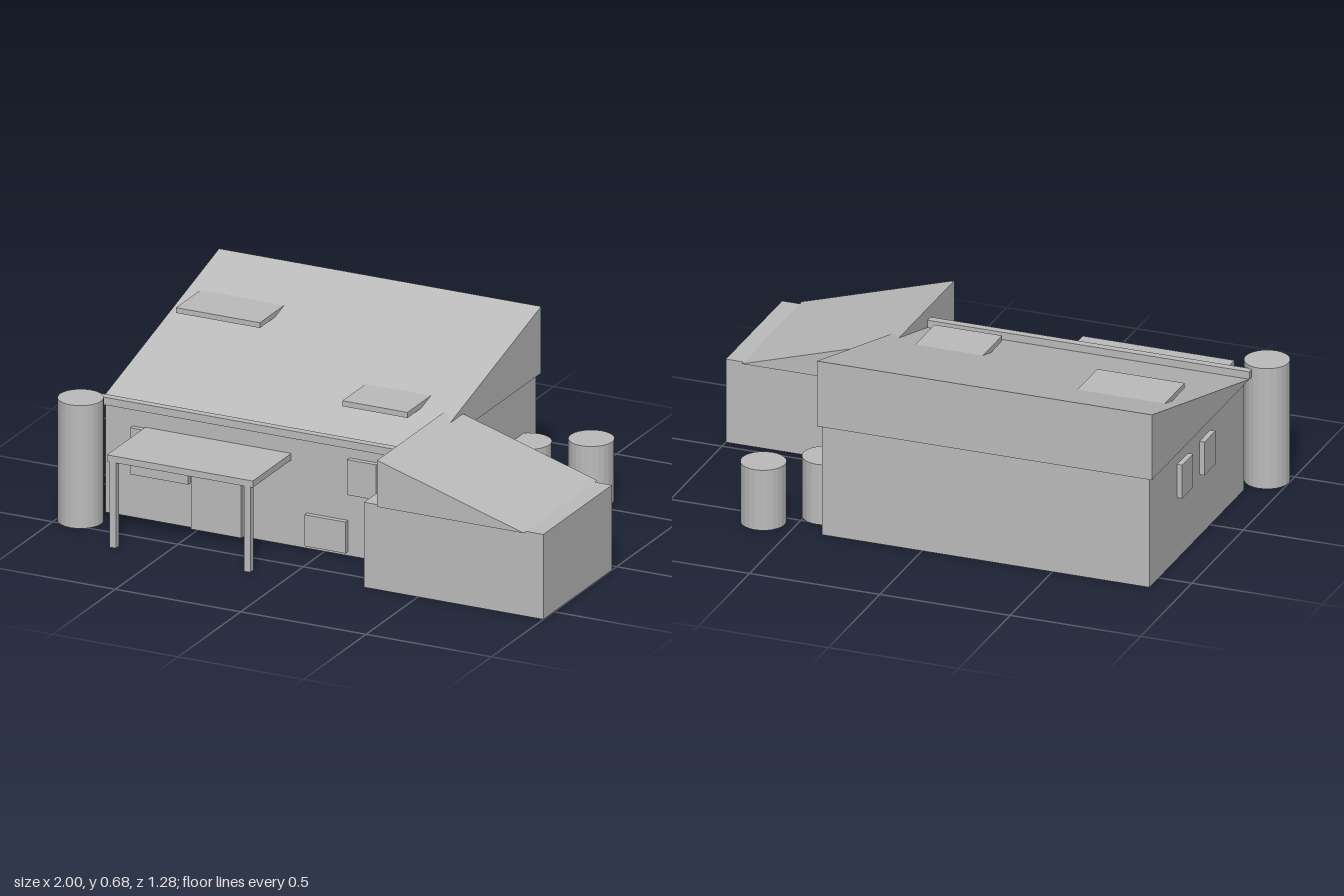
import * as THREE from 'three';

const grey = new THREE.MeshStandardMaterial({ color: 0xbcbcbc });
grey.name = 'plain grey';
grey.flatShading = true;

export function createModel() {
  const model = new THREE.Group();
  model.name = 'house';

  const add = (name, geometry) => {
    const mesh = new THREE.Mesh(geometry, grey);
    mesh.name = name;
    model.add(mesh);
    return mesh;
  };

  // Box given by its limits on each axis
  const box = (name, x0, x1, y0, y1, z0, z1) =>
    add(name, new THREE.BoxGeometry(x1 - x0, y1 - y0, z1 - z0)
      .translate((x0 + x1) / 2, (y0 + y1) / 2, (z0 + z1) / 2));

  // Triangular prism extruded along z
  const wedge = (points, depth) =>
    new THREE.ExtrudeGeometry(
      new THREE.Shape(points.map(([x, y]) => new THREE.Vector2(x, y))),
      { depth, bevelEnabled: false });

  // Main house: walls, single-pitch roof rising to the back, front gutter
  box('mainWalls', -0.873, 0.383, 0, 0.428, -0.59, 0.33);
  add('mainRoof', wedge([[-0.345, 0.428], [0.605, 0.428], [0.605, 0.683]], 1.285)
    .rotateY(Math.PI / 2).translate(-0.888, 0, 0));
  box('gutter', -0.888, 0.397, 0.428, 0.457, 0.343, 0.373);

  // Flat skylights sunk into the slope
  box('skylight', -0.84, -0.505, 0.597, 0.617, -0.36, -0.165);
  box('skylight', -0.005, 0.255, 0.502, 0.523, -0.01, 0.178);

  // Side wing with its roof falling outwards
  box('wingWalls', 0.285, 1, 0, 0.325, 0.037, 0.585);
  add('wingRoof', wedge([[0.347, 0.325], [0.932, 0.325], [0.347, 0.503]], 0.586)
    .translate(0, 0, 0.019));

  // Door and windows on the front wall
  box('door', -0.525, -0.325, 0, 0.33, 0.325, 0.345);
  box('frontWindow', -0.765, -0.535, 0.17, 0.348, 0.325, 0.35);
  box('frontWindow', 0.1, 0.215, 0.24, 0.375, 0.325, 0.35);
  box('frontWindow', -0.07, 0.093, 0.015, 0.135, 0.325, 0.35);

  // Windows on the right-hand wall
  for (const z of [-0.27, -0.053]) {
    box('sideWindow', -0.893, -0.87, 0.24, 0.37, z - 0.053, z + 0.053);
  }

  // Porch canopy on two posts
  box('porchCanopy', -0.715, -0.133, 0.327, 0.352, 0.33, 0.637);
  for (const x of [-0.693, -0.157]) {
    box('porchPost', x - 0.013, x + 0.013, 0, 0.327, 0.609, 0.635);
  }

  // Round tanks
  for (const [x, z, height] of [[-0.917, 0.442, 0.47], [0.435, -0.43, 0.235], [0.622, -0.555, 0.235]]) {
    add('tank', new THREE.CylinderGeometry(0.083, 0.083, height, 24).translate(x, height / 2, z));
  }

  return model;
}
